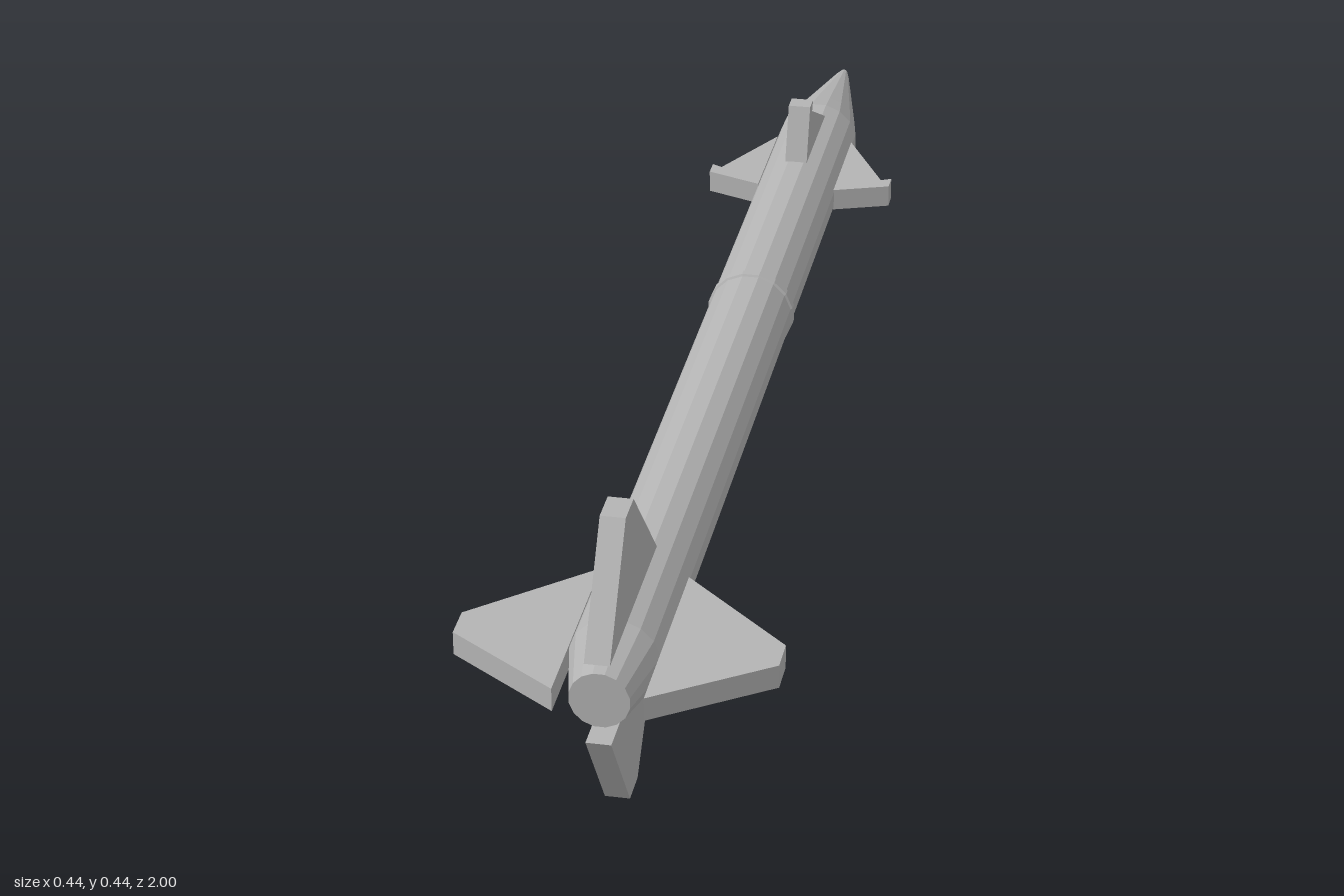
import * as THREE from 'three';

const AXIS_Y = 0.2225;
const SIDES = 16;
const R = 0.064;

export function createModel() {
  const model = new THREE.Group();
  const rocket = new THREE.Group();
  rocket.name = 'rocket';
  rocket.position.y = AXIS_Y;
  model.add(rocket);

  const grey = new THREE.MeshStandardMaterial({ color: 0xb3b3b3, flatShading: true });
  grey.name = 'grey';

  // Faceted round part along z, from [radius, z] pairs running nose to tail
  function turned(name, profile) {
    const points = profile.map(([r, z]) => new THREE.Vector2(r, z));
    const geometry = new THREE.LatheGeometry(points, SIDES, Math.PI / SIDES);
    geometry.rotateX(Math.PI / 2);
    const mesh = new THREE.Mesh(geometry, grey);
    mesh.name = name;
    rocket.add(mesh);
  }

  // Four equal slabs around the axis, from an outline of [z, radius] pairs
  function finSet(name, outline, thickness) {
    const shape = new THREE.Shape(outline.map(([z, r]) => new THREE.Vector2(z, r)));
    const geometry = new THREE.ExtrudeGeometry(shape, { depth: thickness, bevelEnabled: false });
    geometry.translate(0, 0, -thickness / 2);
    geometry.rotateY(-Math.PI / 2);
    const set = new THREE.Group();
    set.name = name + 's';
    for (let i = 0; i < 4; i++) {
      const fin = new THREE.Mesh(geometry, grey);
      fin.name = name;
      fin.rotation.z = i * Math.PI / 2;
      set.add(fin);
    }
    rocket.add(set);
  }

  // Nose cone, tube and tapered tail with its flat end
  turned('noseCone', [[0, -1], [0.006, -0.995], [0.013, -0.968], [0.054, -0.78], [R, -0.73]]);
  turned('body', [[R, -0.73], [R, 0.89]]);
  turned('tail', [[R, 0.89], [0.042, 0.99], [0, 0.99]]);

  // Narrow joint band
  turned('jointBand', [[R, -0.12], [0.067, -0.118], [0.067, -0.106], [R, -0.104]]);

  // Small steering fins with a stepped tip
  finSet('frontFin', [
    [-0.69, 0.062], [-0.51, 0.062], [-0.54, 0.148], [-0.568, 0.148], [-0.56, 0.132],
  ], 0.035);

  // Large tail fins
  finSet('tailFin', [
    [0.695, 0.062], [1, 0.062], [0.89, 0.2225], [0.84, 0.2225],
  ], 0.035);

  return model;
}
